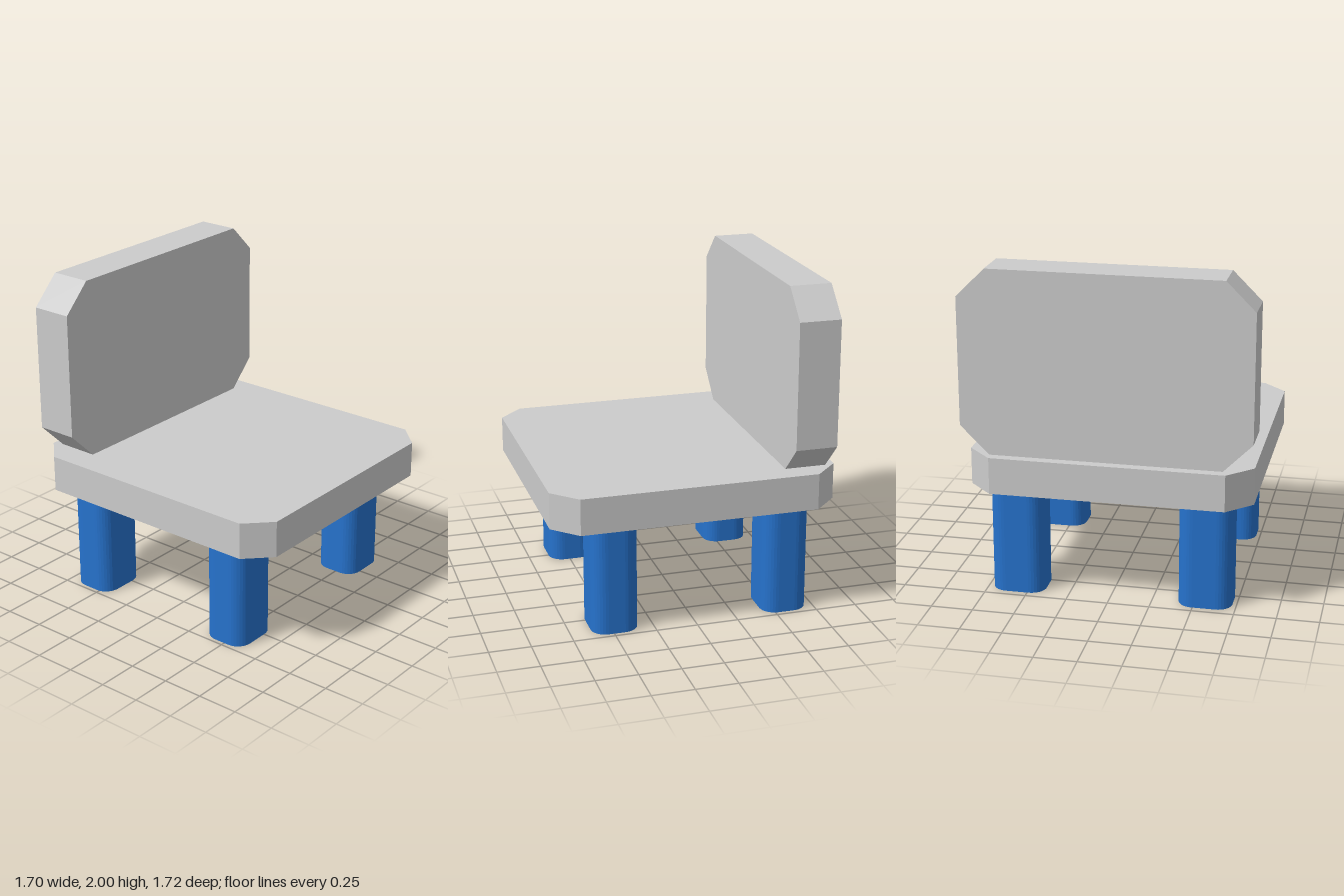
import * as THREE from 'three';

const grey = new THREE.MeshStandardMaterial({ color: 0xcccccc, flatShading: true });
const blue = new THREE.MeshStandardMaterial({ color: 0x2672cc });

// Rectangle centred on the origin with its corners cut off
function chamferedRect(w, h, c) {
  const x = w / 2, y = h / 2;
  return new THREE.Shape([
    [-x + c, -y], [x - c, -y], [x, -y + c], [x, y - c],
    [x - c, y], [-x + c, y], [-x, y - c], [-x, -y + c],
  ].map(([a, b]) => new THREE.Vector2(a, b)));
}

// Rectangle centred on the origin with rounded corners
function roundedRect(w, h, r) {
  const x = w / 2 - r, y = h / 2 - r, s = new THREE.Shape();
  s.absarc(x, y, r, 0, Math.PI / 2);
  s.absarc(-x, y, r, Math.PI / 2, Math.PI);
  s.absarc(-x, -y, r, Math.PI, Math.PI * 1.5);
  s.absarc(x, -y, r, Math.PI * 1.5, Math.PI * 2);
  s.closePath();
  return s;
}

function extrude(shape, depth, curveSegments = 4) {
  return new THREE.ExtrudeGeometry(shape, { depth, curveSegments, bevelEnabled: false });
}

export function createModel() {
  const chair = new THREE.Group();
  chair.name = 'chair';
  const add = (name, geometry, material, x, y, z) => {
    const mesh = new THREE.Mesh(geometry, material);
    mesh.name = name;
    mesh.position.set(x, y, z);
    chair.add(mesh);
  };

  // Seat slab with cut corners, set slightly towards -x
  const seat = extrude(chamferedRect(1.666, 1.72, 0.147), 0.22).rotateX(-Math.PI / 2);
  add('seat', seat, grey, -0.017, 0.68, 0);

  // Upright backrest standing on the seat
  add('backrest', extrude(chamferedRect(1.7, 1.1, 0.17), 0.25), grey, 0, 1.45, -0.803);

  // Four legs with rounded corners, just short of the seat
  const leg = extrude(roundedRect(0.32, 0.28, 0.09), 0.67).rotateX(-Math.PI / 2);
  for (const [end, z] of [['front', 0.482], ['back', -0.567]]) {
    add(end + 'LeftLeg', leg, blue, 0.562, 0, z);
    add(end + 'RightLeg', leg, blue, -0.565, 0, z);
  }
  return chair;
}
